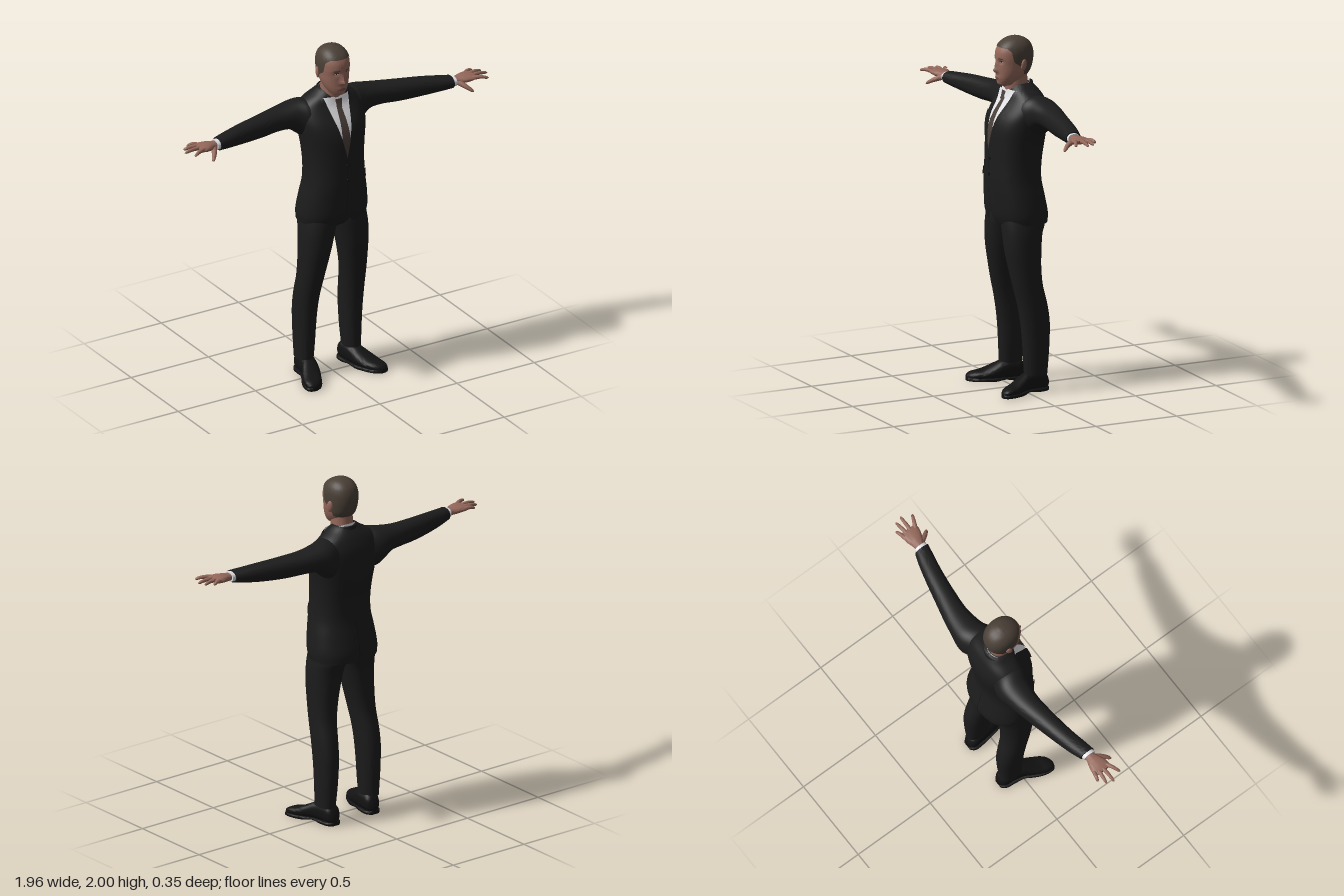
import * as THREE from 'three';
import { mergeVertices, toCreasedNormals } from 'three/addons/utils/BufferGeometryUtils.js';

const mat = (name, color, side = THREE.FrontSide) => {
  const m = new THREE.MeshStandardMaterial({ color, side });
  m.name = name;
  return m;
};

// Sheet of (nu x nv) quads from a rule fn(u, v) -> [x, y, z]
function grid(nu, nv, fn, crease = 1) {
  const pos = [], idx = [];
  for (let i = 0; i <= nu; i++) for (let j = 0; j <= nv; j++) pos.push(...fn(i / nu, j / nv));
  for (let i = 0; i < nu; i++) for (let j = 0; j < nv; j++) {
    const a = i * (nv + 1) + j, d = a + nv + 1;
    idx.push(a, a + 1, d + 1, a, d + 1, d);
  }
  const g = new THREE.BufferGeometry();
  g.setAttribute('position', new THREE.Float32BufferAttribute(pos, 3));
  g.setIndex(idx);
  return toCreasedNormals(mergeVertices(g, 1e-5), crease);
}

// Smooth interpolation of rows [t, u0, u1, v0, v1]
function section(rows) {
  const f = new THREE.CubicInterpolant(rows.map(r => r[0]), rows.flatMap(r => r.slice(1)), 4);
  return t => [...f.evaluate(t)];
}

// Closed skin through rounded sections along an axis; u, v are the next two axes (x:yz, y:zx, z:xy)
function loft(rows, { axis = 'y', p = 2.2, n = 32, m = 32, start, openStart = false, deform } = {}) {
  const sec = section(rows), t0 = rows[0][0], t1 = rows.at(-1)[0], ax = 'xyz'.indexOf(axis);
  const pw = c => Math.sign(c) * Math.abs(c) ** (2 / p);
  return grid(m + 2, n, (s, q) => {
    const i = Math.round(s * (m + 2)) - 1, k = Math.min(Math.max(i, 0), m) / m;
    const a = (q % 1) * Math.PI * 2, lo = start ? start(a) : t0;
    const t = lo + (t1 - lo) * (1 - Math.cos(Math.PI * k)) / 2;
    const [u0, u1, v0, v1] = sec(t), r = i > m || (i < 0 && !openStart) ? 0 : 0.5;
    const out = [0, 0, 0];
    out[ax] = t;
    out[(ax + 1) % 3] = (u0 + u1) / 2 + (u1 - u0) * r * pw(Math.cos(a));
    out[(ax + 2) % 3] = (v0 + v1) / 2 + (v1 - v0) * r * pw(Math.sin(a));
    return deform ? deform(out) : out;
  });
}

// Depth of an upright loft's front (dir 1) or back (dir -1) at x, y
const depth = (rows, p, dir = 1, sec = section(rows)) => (x, y) => {
  const [z0, z1, , rx] = sec(y);
  return (z0 + z1) / 2 + dir * (z1 - z0) / 2 * Math.max(0, 1 - Math.abs(x / rx) ** p) ** (1 / p);
};

// Thin sheet lying on a surface; rows [y, x0, x1]
function drape(zAt, rows, offset) {
  const seg = rows.length - 1;
  return grid(seg * 5, 10, (s, q) => {
    const i = Math.min(Math.floor(s * seg + 1e-6), seg - 1), f = s * seg - i;
    const [y, a, b] = rows[i].map((c, k) => c + (rows[i + 1][k] - c) * f);
    const x = a + (b - a) * q;
    return [x, y, zAt(x, y) + offset];
  });
}

// Tapered round finger along a curve
function finger(points, r0, r1) {
  const curve = new THREE.CatmullRomCurve3(points.map(p => new THREE.Vector3(...p)));
  return grid(14, 12, (s, q) => {
    const c = curve.getPoint(s), t = curve.getTangent(s), a = (q % 1) * Math.PI * 2;
    const r = (r0 + (r1 - r0) * s) * (s > 0.8 ? Math.sqrt(Math.max(0, 1 - ((s - 0.8) / 0.2) ** 2)) : 1);
    const side = t.clone().cross(new THREE.Vector3(0, 1, 0)).normalize();
    c.addScaledVector(side, r * Math.sin(a));
    return [c.x, c.y + r * Math.cos(a), c.z];
  });
}

function mirror(geo) {
  const g = (geo.index ? geo.toNonIndexed() : geo.clone()).scale(-1, 1, 1);
  for (const at of Object.values(g.attributes)) for (let i = 0; i < at.count; i += 3) for (let k = 0; k < at.itemSize; k++) {
    const h = at.getComponent(i, k);
    at.setComponent(i, k, at.getComponent(i + 2, k));
    at.setComponent(i + 2, k, h);
  }
  return g;
}

const gauss = (d, w) => Math.exp(-((d / w) ** 2));

export function createModel() {
  const root = new THREE.Group();
  root.name = 'manInSuit';
  const suit = mat('suitBlack', 0x1c1c1d, THREE.DoubleSide), shoe = mat('shoeBlack', 0x131313);
  const shirt = mat('shirtWhite', 0xe4e4e8, THREE.DoubleSide), tieMat = mat('tieBrown', 0x4a3f39);
  const skin = mat('skin', 0x94685a), hairMat = mat('hairBrown', 0x4a4037);
  const lipMat = mat('lips', 0x7a4d45), eyeMat = mat('eyeDark', 0x2a1f1b), eyeWhite = mat('eyeWhite', 0xb5a9a2);
  const add = (name, geo, m) => {
    const mesh = new THREE.Mesh(geo, m);
    mesh.name = name;
    root.add(mesh);
  };
  const both = (name, geo, m) => {
    add(name + 'Left', geo, m);
    add(name + 'Right', mirror(geo), m);
  };

  // Jacket body, with the hem cut away at the front
  const torso = [
    [0.955, 0.2, 0.125, -0.17], [1, 0.205, 0.14, -0.172], [1.1, 0.195, 0.15, -0.155], [1.2, 0.178, 0.155, -0.138],
    [1.3, 0.172, 0.152, -0.142], [1.4, 0.178, 0.148, -0.157], [1.5, 0.193, 0.138, -0.17], [1.56, 0.2, 0.118, -0.172],
    [1.62, 0.198, 0.08, -0.165], [1.66, 0.18, 0.055, -0.15], [1.69, 0.14, 0.045, -0.135], [1.71, 0.105, 0.04, -0.12],
    [1.735, 0.07, 0.02, -0.1],
  ].map(([y, w, f, b]) => [y, b, f, -w, w]);
  add('jacketBody', loft(torso, {
    p: 2.3, n: 64, m: 48, openStart: true,
    start: a => 0.955 + (Math.cos(a) > 0 ? 0.06 * gauss(Math.sin(a), 0.14) : 0),
  }), suit);
  const chest = depth(torso, 2.3), back = depth(torso, 2.3, -1);
  both('lapel', drape(chest, [[1.35, -0.005, 0.012], [1.42, 0.012, 0.05], [1.52, 0.036, 0.095], [1.57, 0.048, 0.108],
    [1.575, 0.05, 0.085], [1.6, 0.056, 0.102], [1.66, 0.07, 0.098], [1.705, 0.08, 0.095]], 0.01), suit);
  both('pocketFlap', drape(chest, [[1.2, 0.1, 0.165], [1.243, 0.098, 0.167]], 0.006), suit);
  add('frontSeam', drape(chest, [[1.02, -0.0015, 0.0015], [1.35, -0.0015, 0.0015]], 0.003), shoe);
  add('backVent', drape(back, [[0.96, 0.002, -0.002], [1.18, 0.002, -0.002]], -0.003), shoe);
  for (const y of [1.23, 1.32]) {
    const b = new THREE.CylinderGeometry(0.008, 0.008, 0.006, 16).rotateX(Math.PI / 2);
    add('button', b.translate(0.006, y, chest(0, y) + 0.003), shoe);
  }
  add('jacketCollar', grid(6, 40, (h, q) => {
    const a = (q - 0.5) * 4.2, r = 0.096 - 0.016 * h, top = 1.712 + 0.028 * Math.cos(a);
    return [Math.sin(a) * r, 1.66 + (top - 1.66) * h, -0.025 - Math.cos(a) * r * 1.04];
  }), suit);

  // Sleeves along x
  both('sleeve', loft([[0.1, 1.48, 1.675, -0.14, 0.045], [0.16, 1.458, 1.685, -0.165, 0.045], [0.2, 1.485, 1.68, -0.168, 0.022],
    [0.25, 1.522, 1.67, -0.16, 0.008], [0.32, 1.53, 1.66, -0.147, 0], [0.45, 1.527, 1.65, -0.115, 0.01],
    [0.6, 1.535, 1.64, -0.078, 0.03], [0.7, 1.547, 1.63, -0.05, 0.05], [0.755, 1.555, 1.625, -0.03, 0.06]],
    { axis: 'x', n: 40, m: 40 }), suit);
  both('cuff', loft([[0.74, 1.563, 1.619, -0.022, 0.054], [0.774, 1.563, 1.619, -0.018, 0.056]], { axis: 'x', m: 4 }), shirt);

  // Hands
  both('palm', loft([[0.76, 1.572, 1.612, -0.01, 0.045], [0.79, 1.572, 1.614, -0.013, 0.052], [0.83, 1.575, 1.618, -0.026, 0.07],
    [0.87, 1.583, 1.615, -0.032, 0.078], [0.892, 1.59, 1.61, -0.028, 0.074]], { axis: 'x', n: 24, m: 16 }), skin);
  for (const [name, z0, x1, z1] of [['little', -0.02, 0.925, -0.038], ['ring', 0.005, 0.965, -0.006],
    ['middle', 0.031, 0.98, 0.035], ['index', 0.058, 0.952, 0.098]])
    both(name + 'Finger', finger([[0.865, 1.6, z0], [(0.865 + x1) / 2, 1.605, (z0 + z1) / 2], [x1, 1.597, z1]], 0.013, 0.008), skin);
  both('thumb', finger([[0.79, 1.588, 0.035], [0.815, 1.57, 0.08], [0.845, 1.546, 0.118]], 0.019, 0.009), skin);

  // Trousers
  both('trouserLeg', loft([[0.1, -0.125, 0.01, 0.106, 0.2], [0.2, -0.134, 0.015, 0.097, 0.204], [0.3, -0.14, 0.02, 0.091, 0.207],
    [0.4, -0.14, 0.03, 0.086, 0.21], [0.5, -0.125, 0.047, 0.08, 0.21], [0.6, -0.102, 0.07, 0.068, 0.208],
    [0.7, -0.095, 0.09, 0.05, 0.207], [0.8, -0.1, 0.108, 0.03, 0.206], [0.9, -0.112, 0.115, 0.008, 0.203],
    [0.95, -0.13, 0.116, -0.005, 0.198], [1.02, -0.12, 0.11, -0.01, 0.185]], { n: 40, m: 44 }), suit);
  add('trouserSeat', loft([[0.905, -0.04, 0.04, -0.02, 0.02], [0.94, -0.105, 0.09, -0.12, 0.12],
    [1.05, -0.12, 0.125, -0.16, 0.16]], { m: 16 }), suit);

  // Shoes, toes turned out
  const shoeRows = [[-0.135, 0.118, 0.162, 0.02, 0.07], [-0.12, 0.102, 0.178, 0.01, 0.1], [-0.06, 0.098, 0.19, 0.008, 0.118],
    [0, 0.105, 0.202, 0.008, 0.112], [0.05, 0.115, 0.228, 0.008, 0.086], [0.1, 0.135, 0.25, 0.008, 0.062],
    [0.15, 0.165, 0.257, 0.008, 0.05], [0.172, 0.19, 0.248, 0.01, 0.038], [0.18, 0.21, 0.232, 0.012, 0.028]];
  both('shoe', loft(shoeRows, { axis: 'z', p: 2.5 }), shoe);
  both('sole', loft(shoeRows.map(([z, a, b]) => [z, a - 0.004, b + 0.004, z > -0.04 && z < 0.04 ? 0.01 : 0, 0.02]),
    { axis: 'z', p: 7 }), shoe);

  // Shirt, collar and tie
  add('shirtFront', drape(chest, [[1.37, -0.002, 0.002], [1.54, -0.043, 0.043], [1.705, -0.083, 0.083]], 0.004), shirt);
  add('shirtCollar', grid(4, 40, (h, q) => {
    const a = (q % 1) * Math.PI * 2, top = 1.72 + 0.03 * Math.cos(a);
    return [0.068 * Math.sin(a), 1.63 + (top - 1.63) * h, -0.018 - 0.071 * Math.cos(a)];
  }), shirt);
  both('collarWing', drape(chest, [[1.635, 0.042, 0.046], [1.7, 0.012, 0.072]], 0.016), shirt);
  add('tie', drape(chest, [[1.365, -0.012, 0.012], [1.42, -0.03, 0.03], [1.62, -0.018, 0.018], [1.66, -0.014, 0.014]], 0.008), tieMat);
  add('tieKnot', drape(chest, [[1.648, -0.014, 0.014], [1.695, -0.022, 0.022]], 0.018), tieMat);

  // Neck and head
  add('neck', loft([[1.62, -0.085, 0.04, -0.062, 0.062], [1.7, -0.083, 0.048, -0.06, 0.06], [1.76, -0.076, 0.05, -0.058, 0.058],
    [1.83, -0.07, 0.04, -0.055, 0.055]], { m: 12 }), skin);
  const head = [
    [1.725, 0.02, 0.078, 0.022], [1.731, -0.005, 0.09, 0.036], [1.747, -0.03, 0.099, 0.05], [1.775, -0.06, 0.103, 0.066],
    [1.81, -0.088, 0.104, 0.077], [1.85, -0.102, 0.105, 0.082], [1.89, -0.107, 0.108, 0.085], [1.93, -0.102, 0.1, 0.083],
    [1.965, -0.083, 0.075, 0.068], [1.987, -0.05, 0.038, 0.042], [1.996, -0.02, 0.01, 0.015],
  ].map(([y, b, f, w]) => [y, b, f, -w, w]);
  const relief = (x, y) => 0.022 * gauss(x, 0.015) * gauss(y - 1.814, 0.014) + 0.014 * gauss(x, 0.011) * gauss(y - 1.842, 0.024)
    - 0.009 * gauss(Math.abs(x) - 0.033, 0.016) * gauss(y - 1.867, 0.011)
    + 0.006 * gauss(x, 0.026) * gauss(y - 1.772, 0.013) + 0.004 * gauss(x, 0.02) * gauss(y - 1.742, 0.01);
  add('head', loft(head, { n: 96, m: 72, deform: ([x, y, z]) => [x, y, z > 0 ? z + relief(x, y) : z] }), skin);

  // Cropped hair cap, its lower edge following the hairline from nape to brow
  const line = [[-1, 1.79], [-0.4, 1.795], [-0.15, 1.83], [0.05, 1.85], [0.3, 1.868], [0.45, 1.925], [0.7, 1.942], [1.01, 1.945]];
  const hairline = a => {
    const c = Math.cos(a), i = Math.max(1, line.findIndex(l => l[0] > c));
    const [[c0, y0], [c1, y1]] = [line[i - 1], line[i]];
    return y0 + (y1 - y0) * (c - c0) / (c1 - c0);
  };
  add('hair', loft(head, {
    n: 96, m: 32, start: hairline, openStart: true,
    deform: ([x, y, z]) => [x * 1.035, 1.88 + (y - 1.88) * 1.035, z * 1.035],
  }), hairMat);

  // Face details
  const headZ = depth(head, 2.2), face = (x, y) => headZ(x, y) + relief(x, y);
  both('eyebrow', drape(face, [[1.882, 0.016, 0.05], [1.888, 0.02, 0.048]], 0.002), hairMat);
  both('eye', drape(face, [[1.862, 0.029, 0.037], [1.866, 0.022, 0.044], [1.871, 0.027, 0.04]], 0.002), eyeWhite);
  both('iris', drape(face, [[1.862, 0.03, 0.036], [1.871, 0.029, 0.037]], 0.003), eyeMat);
  both('upperLid', drape(face, [[1.87, 0.021, 0.046], [1.873, 0.025, 0.042]], 0.003), eyeMat);
  add('lips', drape(face, [[1.764, -0.012, 0.012], [1.772, -0.026, 0.026], [1.779, -0.01, 0.01]], 0.002), lipMat);
  both('ear', new THREE.SphereGeometry(1, 20, 14).scale(0.01, 0.033, 0.019).rotateY(0.35).rotateX(-0.15).translate(0.088, 1.85, -0.018), skin);

  return root;
}
